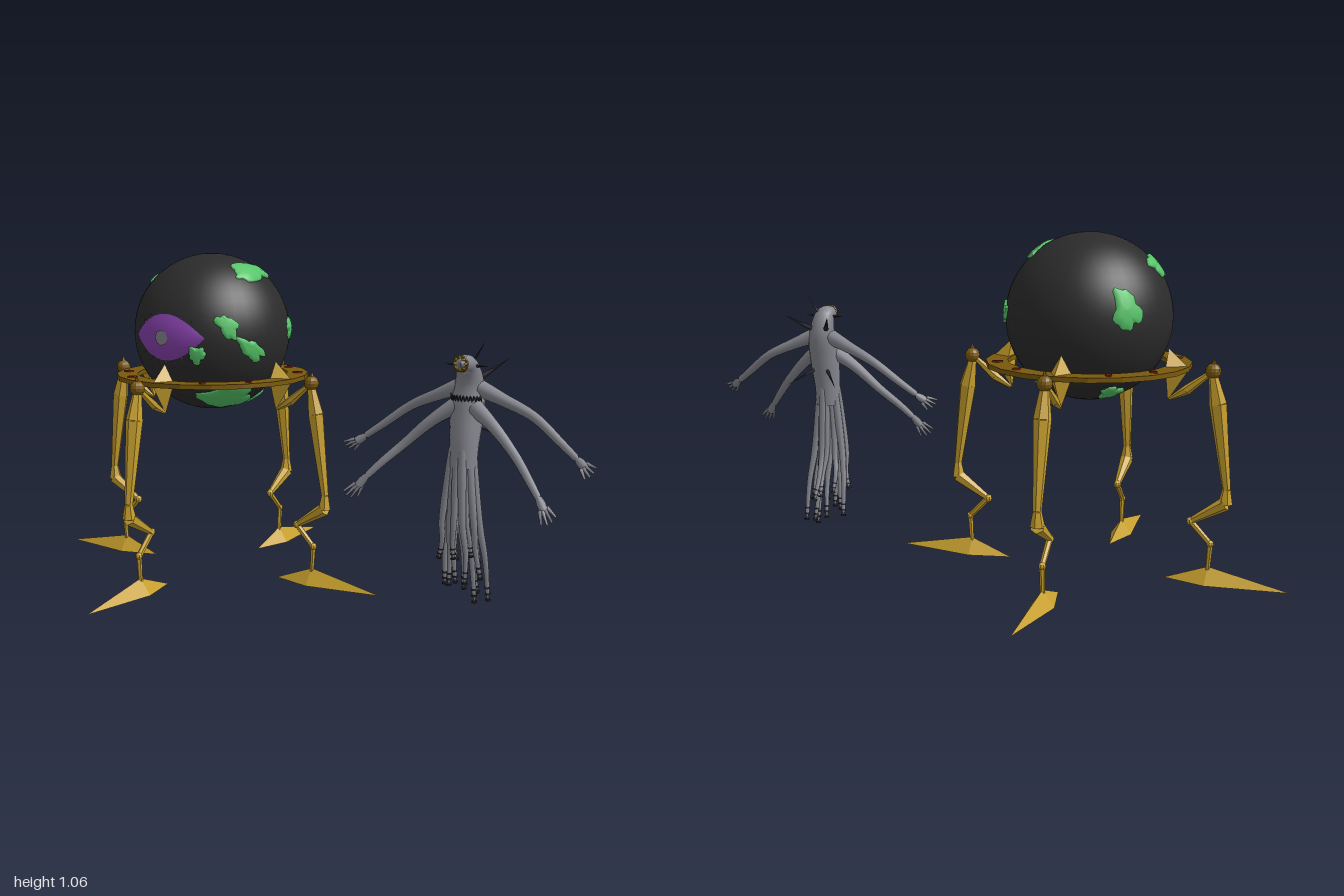
import * as THREE from 'three';
import { ConvexGeometry } from 'three/addons/geometries/ConvexGeometry.js';

const V = (x, y, z) => new THREE.Vector3(x, y, z);
const material = (name, color, opts = {}) => {
  const m = new THREE.MeshStandardMaterial({ color, ...opts });
  m.name = name;
  return m;
};
const flat = { flatShading: true };
const black = material('orb black', 0x2b2b2b);
const gold = material('gold', 0xc8a02e, flat);
const darkGold = material('dark gold', 0x7a590c, flat);
const green = material('patch green', 0x55c468, { side: THREE.DoubleSide });
const purple = material('eye purple', 0x8440a8, { side: THREE.DoubleSide });
const red = material('gem red', 0x8a2318, flat);
const grey = material('skin grey', 0x85868e);
const spikeBlack = material('spike black', 0x222226);

function add(parent, name, geometry, mat) {
  const mesh = new THREE.Mesh(geometry, mat);
  mesh.name = name;
  parent.add(mesh);
  return mesh;
}

// Straight tapered rod between two points
function rod(a, b, ra, rb, sides = 6) {
  const d = b.clone().sub(a);
  const g = new THREE.CylinderGeometry(rb, ra, d.length(), sides);
  g.applyQuaternion(new THREE.Quaternion().setFromUnitVectors(V(0, 1, 0), d.normalize()));
  return g.translate((a.x + b.x) / 2, (a.y + b.y) / 2, (a.z + b.z) / 2);
}

// Curved limb with a changing radius and closed ends
function limb(points, radii, sides = 10, steps = 20, widen = 1) {
  const curve = new THREE.CatmullRomCurve3(points);
  const g = new THREE.TubeGeometry(curve, steps, 1, sides);
  const p = g.attributes.position;
  for (let i = 0; i <= steps; i++) {
    const c = curve.getPointAt(i / steps);
    const t = (i / steps) * (radii.length - 1);
    const k = Math.min(Math.floor(t), radii.length - 2);
    const r = i === 0 || i === steps ? 0 : THREE.MathUtils.lerp(radii[k], radii[k + 1], t - k);
    for (let j = 0; j <= sides; j++) {
      const n = i * (sides + 1) + j;
      const v = V(p.getX(n), p.getY(n), p.getZ(n)).sub(c).multiplyScalar(r);
      p.setXYZ(n, c.x + v.x * widen, c.y + v.y, c.z + v.z);
    }
  }
  return g;
}

const R = 0.257;

// Ragged raised patch lying on the orb
function patch(dir, a, b, turn, seed) {
  const d = V(...dir).normalize();
  const h = V(d.z, 0, -d.x).normalize();
  const u = d.clone().cross(h);
  const levels = [[0, 1.03], [0.5, 1.03], [0.96, 1.028], [1, 0.995]];
  const n = 30;
  const pos = [], idx = [];
  levels.forEach(([s, lift], k) => {
    for (let i = 0; i <= n; i++) {
      const t = (i / n) * Math.PI * 2;
      const rag = 1 + 0.16 * Math.sin(3 * t + seed) + 0.12 * Math.sin(5 * t + seed * 2.3) + 0.07 * Math.sin(9 * t + seed);
      const x = Math.cos(t) * a * s * rag, y = Math.sin(t) * b * s * rag;
      const px = x * Math.cos(turn) - y * Math.sin(turn), py = x * Math.sin(turn) + y * Math.cos(turn);
      const v = d.clone().multiplyScalar(R).addScaledVector(h, px).addScaledVector(u, py).setLength(R * lift);
      pos.push(v.x, v.y, v.z);
      const q = k * (n + 1) + i;
      if (k < levels.length - 1 && i < n) idx.push(q, q + n + 1, q + n + 2, q, q + n + 2, q + 1);
    }
  });
  const g = new THREE.BufferGeometry();
  g.setAttribute('position', new THREE.Float32BufferAttribute(pos, 3));
  g.setIndex(idx);
  g.computeVertexNormals();
  return g;
}

function buildOrb() {
  const orb = new THREE.Group();
  orb.name = 'orb';
  orb.position.y = 0.805;
  add(orb, 'orbBody', new THREE.SphereGeometry(R, 40, 28), black);
  [
    [[-0.76, 0.62, 0.12], 0.06, 0.04, 0],
    [[0.62, 0.78, 0], 0.09, 0.04, 0],
    [[0.73, 0.14, 0.67], 0.045, 0.028, -0.9],
    [[0.9, -0.15, 0.41], 0.058, 0.026, -0.6],
    [[0.42, -0.2, 0.88], 0.026, 0.028, 0],
    [[0.9, 0.06, -0.43], 0.036, 0.03, 0.3],
    [[0.5, -0.77, 0.36], 0.09, 0.07, 0],
    [[0.46, -0.84, -0.29], 0.03, 0.03, 0],
    [[-0.4, -0.83, -0.38], 0.035, 0.035, 0],
    [[-0.67, 0.18, -0.71], 0.042, 0.062, 0.2],
  ].forEach(([d, a, b, t], i) => add(orb, 'greenPatch', patch(d, a, b, t, i * 1.7), green));

  // Almond eye curved over the orb
  const eye = new THREE.PlaneGeometry(2, 2, 20, 8);
  const p = eye.attributes.position;
  for (let i = 0; i < p.count; i++) {
    const u = p.getX(i), v = p.getY(i);
    const x = u * 0.135, y = v * 0.074 * (1 - u * u);
    const r = R + 0.002 + 0.008 * (1 - u * u) * (1 - v * v);
    p.setXYZ(i, x, y, Math.sqrt(r * r - x * x - y * y));
  }
  eye.computeVertexNormals();
  add(orb, 'eye', eye, purple);
  add(orb, 'pupil', new THREE.CircleGeometry(0.025, 8).translate(0, 0, R + 0.012), grey);
  for (const s of [-1, 1]) for (let i = -3; i <= 3; i++) {
    const u = i * 0.22, x = u * 0.135, y = s * 0.074 * (1 - u * u);
    const a = V(x, y, Math.sqrt(R * R - x * x - y * y));
    const b = V(x * 1.08, y + s * 0.014, 0);
    b.z = Math.sqrt(R * R - b.x * b.x - b.y * b.y) + 0.002;
    add(orb, 'eyelash', rod(a, b, 0.003, 0, 4), purple);
  }
  return orb;
}

// One leg reaching along +z
function buildLeg() {
  const leg = new THREE.Group();
  leg.name = 'leg';
  const P = (z, y) => V(0, y, z);
  add(leg, 'bracket', new ConvexGeometry([P(0.253, 0.72), P(0.253, 0.56), P(0.318, 0.66), V(0.035, 0.66, 0.253), V(-0.035, 0.66, 0.253)]), gold);
  add(leg, 'arm', rod(P(0.258, 0.565), P(0.31, 0.595), 0.005, 0.015), gold);
  add(leg, 'arm', rod(P(0.31, 0.595), P(0.385, 0.655), 0.015, 0.008), gold);
  add(leg, 'shoulderKnob', new THREE.SphereGeometry(0.024, 12, 8).translate(0, 0.659, 0.39), darkGold);
  add(leg, 'knobSpike', rod(P(0.39, 0.67), P(0.392, 0.7), 0.012, 0), darkGold);
  // thigh, knee, zigzag shin: z, y, radius
  const joints = [[0.39, 0.645, 0.014], [0.407, 0.56, 0.027], [0.442, 0.3, 0.013], [0.44, 0.255, 0.022],
    [0.335, 0.19, 0.01], [0.398, 0.125, 0.009], [0.392, 0.03, 0.007]];
  for (let i = 1; i < joints.length; i++) {
    const [az, ay, ar] = joints[i - 1], [bz, by, br] = joints[i];
    add(leg, i < 4 ? 'thigh' : 'shin', rod(P(az, ay), P(bz, by), ar, br), gold);
    if (i > 3) add(leg, 'joint', new THREE.SphereGeometry(br * 1.3, 8, 6).translate(0, by, bz), gold);
  }
  add(leg, 'foot', new ConvexGeometry([P(0.255, 0), P(0.645, 0), V(0.036, 0, 0.39), V(-0.036, 0, 0.39), P(0.393, 0.052)]), gold);
  return leg;
}

function buildWalker() {
  const walker = new THREE.Group();
  walker.name = 'walker';
  walker.position.x = -0.355;
  walker.add(buildOrb());
  const profile = [[0.25, 0.652], [0.318, 0.652], [0.318, 0.667], [0.25, 0.667], [0.25, 0.652]];
  add(walker, 'ring', new THREE.LatheGeometry(profile.map(q => new THREE.Vector2(...q)), 20), darkGold);
  for (let i = 0; i < 12; i++) {
    if (i % 3 === 0) continue;
    const gem = add(walker, 'gem', new THREE.CylinderGeometry(0.013, 0.013, 0.006, 4).scale(0.8, 1, 1.3).translate(0, 0.669, 0.283), red);
    gem.rotation.y = i * Math.PI / 6;
  }
  for (let i = 0; i < 4; i++) {
    const leg = buildLeg();
    leg.rotation.y = i * Math.PI / 2;
    walker.add(leg);
  }
  return walker;
}

function buildCreature() {
  const body = new THREE.Group();
  body.name = 'creature';
  body.position.x = 0.585;
  add(body, 'torso', limb([V(0, 0.764, 0.062), V(0, 0.757, 0.02), V(0, 0.705, -0.002), V(0, 0.62, 0.01), V(0, 0.53, 0.024), V(0, 0.44, 0.03)],
    [0.022, 0.034, 0.044, 0.043, 0.038, 0.036], 16, 30, 1.15), grey);
  // Gold toothed mouth
  add(body, 'mouthRing', new THREE.TorusGeometry(0.021, 0.005, 6, 14).translate(0, 0.764, 0.06), darkGold);
  for (let i = 0; i < 8; i++) {
    const c = Math.cos(i * Math.PI / 4), s = Math.sin(i * Math.PI / 4);
    add(body, 'tooth', rod(V(c * 0.02, 0.764 + s * 0.02, 0.058), V(c * 0.015, 0.764 + s * 0.015, 0.076), 0.006, 0, 5), gold);
  }
  // Wavy stitches around the chest
  for (const [y, span] of [[0.66, 1.3], [0.615, 0.7]]) {
    const pts = [];
    for (let i = 0; i <= 24; i++) {
      const t = (i / 12 - 1) * span;
      pts.push(V(Math.sin(t) * 0.051, y + (i % 2 ? 0.008 : -0.008), 0.006 + Math.cos(t) * 0.044));
    }
    add(body, 'stitches', new THREE.TubeGeometry(new THREE.CatmullRomCurve3(pts), 72, 0.0022, 4), spikeBlack);
  }
  add(body, 'crestSpike', rod(V(0.015, 0.77, 0), V(0.045, 0.825, -0.01), 0.004, 0), spikeBlack);
  for (const s of [-1, 1]) {
    const at = (x, y, z) => V(s * x, y, z);
    add(body, 'backSpike', rod(at(0.025, 0.715, -0.02), at(0.08, 0.768, -0.105), 0.009, 0), spikeBlack);
    add(body, 'headSpike', rod(at(0.02, 0.755, 0.02), at(0.07, 0.755, 0.02), 0.006, 0), spikeBlack);
    add(body, 'hipSpike', rod(at(0.025, 0.575, -0.015), at(0.09, 0.53, -0.08), 0.006, 0), spikeBlack);
    // Two pairs of arms with splayed fingers
    const arms = [
      ['upper', [at(0.015, 0.695, 0), at(0.1, 0.66, -0.008), at(0.2, 0.615, -0.015), at(0.29, 0.55, 0), at(0.355, 0.503, 0.015)], at(0.4, 0.472, 0.035)],
      ['lower', [at(0.015, 0.645, 0.02), at(0.1, 0.585, 0.042), at(0.18, 0.51, 0.065), at(0.24, 0.45, 0.1), at(0.285, 0.4, 0.125)], at(0.325, 0.345, 0.148)],
    ];
    for (const [name, pts, tip] of arms) {
      add(body, name + 'Arm', limb(pts, [0.028, 0.019, 0.015, 0.013, 0.01], 10, 18), grey);
      const wrist = pts[4], dir = tip.clone().sub(wrist);
      const across = dir.clone().cross(V(0, 0, 1)).setLength(0.01).add(V(0, 0, 0.009));
      const palm = wrist.clone().addScaledVector(dir, 0.4);
      add(body, name + 'Palm', limb([wrist.clone().addScaledVector(dir, -0.3), wrist, palm], [0.009, 0.014, 0.013], 8, 8), grey);
      for (let f = -1.5; f <= 1.5; f++) {
        const base = palm.clone().addScaledVector(dir, -0.12).addScaledVector(across, f * 0.6);
        const end = tip.clone().addScaledVector(across, f * 1.2).addScaledVector(dir, -Math.abs(f) * 0.12);
        add(body, name + 'Finger', rod(base, end, 0.006, 0.003), grey);
      }
    }
  }
  // Hanging tentacles with banded tips
  const count = 16;
  for (let i = 0; i < count; i++) {
    const t = i * 2.4, k = 0.35 + 0.65 * ((i * 7) % count) / count;
    const c = Math.cos(t) * k, s = Math.sin(t) * k;
    const end = 0.03 + 0.16 * ((i * 5) % count) / count;
    const pts = [V(c * 0.03, 0.53, 0.025 + s * 0.03), V(c * 0.046, 0.42, 0.03 + s * 0.035), V(c * 0.068, 0.28, 0.026 + s * 0.042),
      V(c * 0.078 + 0.006 * Math.sin(i * 3), 0.16 + end * 0.4, 0.012 + s * 0.05), V(c * 0.09, end, s * 0.068 - 0.005)];
    add(body, 'tentacle', limb(pts, [0.014, 0.014, 0.012, 0.009, 0.006], 8, 18), grey);
    const curve = new THREE.CatmullRomCurve3(pts);
    for (const u of [0.9, 0.94, 0.98]) {
      const a = curve.getPointAt(u), b = curve.getPointAt(u + 0.012);
      add(body, 'tipBand', rod(a, b, 0.0085, 0.0085, 7), spikeBlack);
    }
  }
  return body;
}

export function createModel() {
  const model = new THREE.Group();
  model.name = 'walkerAndCreature';
  model.add(buildWalker(), buildCreature());
  return model;
}
